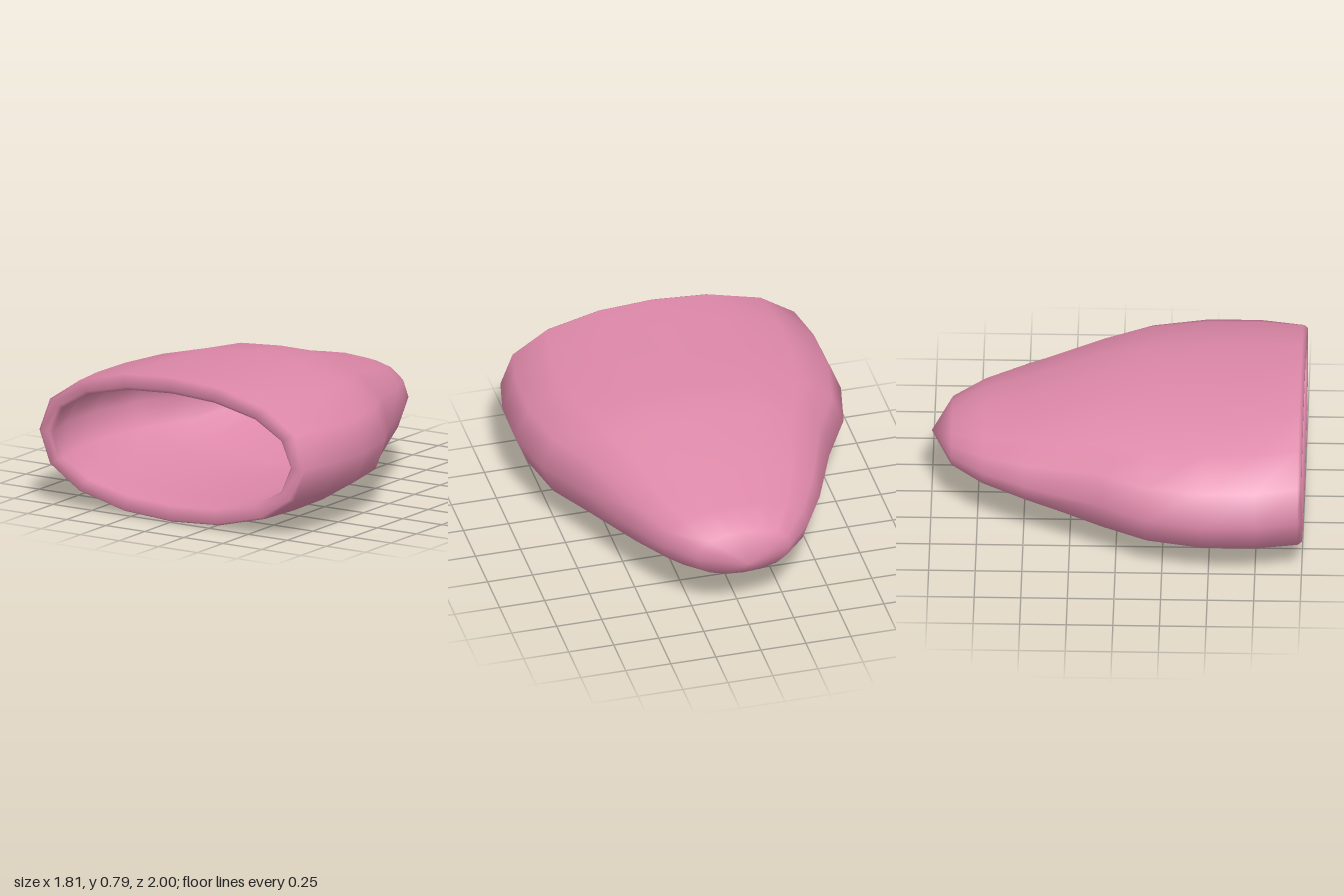
import * as THREE from 'three';
import { mergeVertices } from 'three/addons/utils/BufferGeometryUtils.js';

// Quarter of the rounded oval cross-section, from the side to the top
const QUARTER = [[1, 0], [0.92, 0.45], [0.7, 0.765], [0.36, 0.95], [0, 1]];
const CENTRE_Y = 0.398;

// Mirror the quarter into a full 16-point oval, counter-clockwise seen from the front
function oval() {
  const q = QUARTER;
  const half = [...q, ...q.slice(0, 4).reverse().map(([x, y]) => [-x, y])];
  return [...half, ...half.slice(1, -1).reverse().map(([x, y]) => [x, -y])];
}

// Skin a list of [z, half width, half height] sections
function loft(sections) {
  const ring = oval(), n = ring.length;
  const positions = [], index = [];
  for (const [z, w, h] of sections) {
    for (const [x, y] of ring) positions.push(x * w, CENTRE_Y + y * h, z);
  }
  for (let i = 0; i < sections.length - 1; i++) {
    for (let j = 0; j < n; j++) {
      const a = i * n + j, b = i * n + (j + 1) % n;
      const c = a + n, d = b + n;
      if (sections[i][1] > 0) index.push(a, b, c);
      if (sections[i + 1][1] > 0) index.push(b, d, c);
    }
  }
  const geometry = new THREE.BufferGeometry();
  geometry.setAttribute('position', new THREE.Float32BufferAttribute(positions, 3));
  geometry.setIndex(index);
  const welded = mergeVertices(geometry, 1e-4);
  welded.computeVertexNormals();
  return welded;
}

export function createModel() {
  const group = new THREE.Group();
  group.name = 'hollowPouch';
  const pink = new THREE.MeshStandardMaterial({ color: 0xdd88a8 });
  pink.name = 'pink';

  // Outer skin from the closed tip to the mouth, round the lip, then back inside
  const outer = [
    [-1, 0, 0], [-0.89, 0.26, 0.13], [-0.72, 0.405, 0.19], [-0.49, 0.53, 0.24],
    [-0.08, 0.7, 0.36], [0.17, 0.84, 0.376], [0.47, 0.905, 0.383],
    [0.75, 0.9, 0.39], [0.98, 0.85, 0.397],
  ];
  const lip = [[1, 0.83, 0.385], [1, 0.78, 0.33], [0.98, 0.76, 0.31]];
  const inner = [
    [0.75, 0.82, 0.305], [0.47, 0.825, 0.3], [0.17, 0.76, 0.295], [-0.06, 0.62, 0.28],
    [-0.46, 0.45, 0.16], [-0.68, 0.325, 0.11], [-0.82, 0.19, 0.055], [-0.88, 0, 0],
  ];
  const shell = new THREE.Mesh(loft([...outer, ...lip, ...inner]), pink);
  shell.name = 'shell';
  group.add(shell);
  return group;
}
